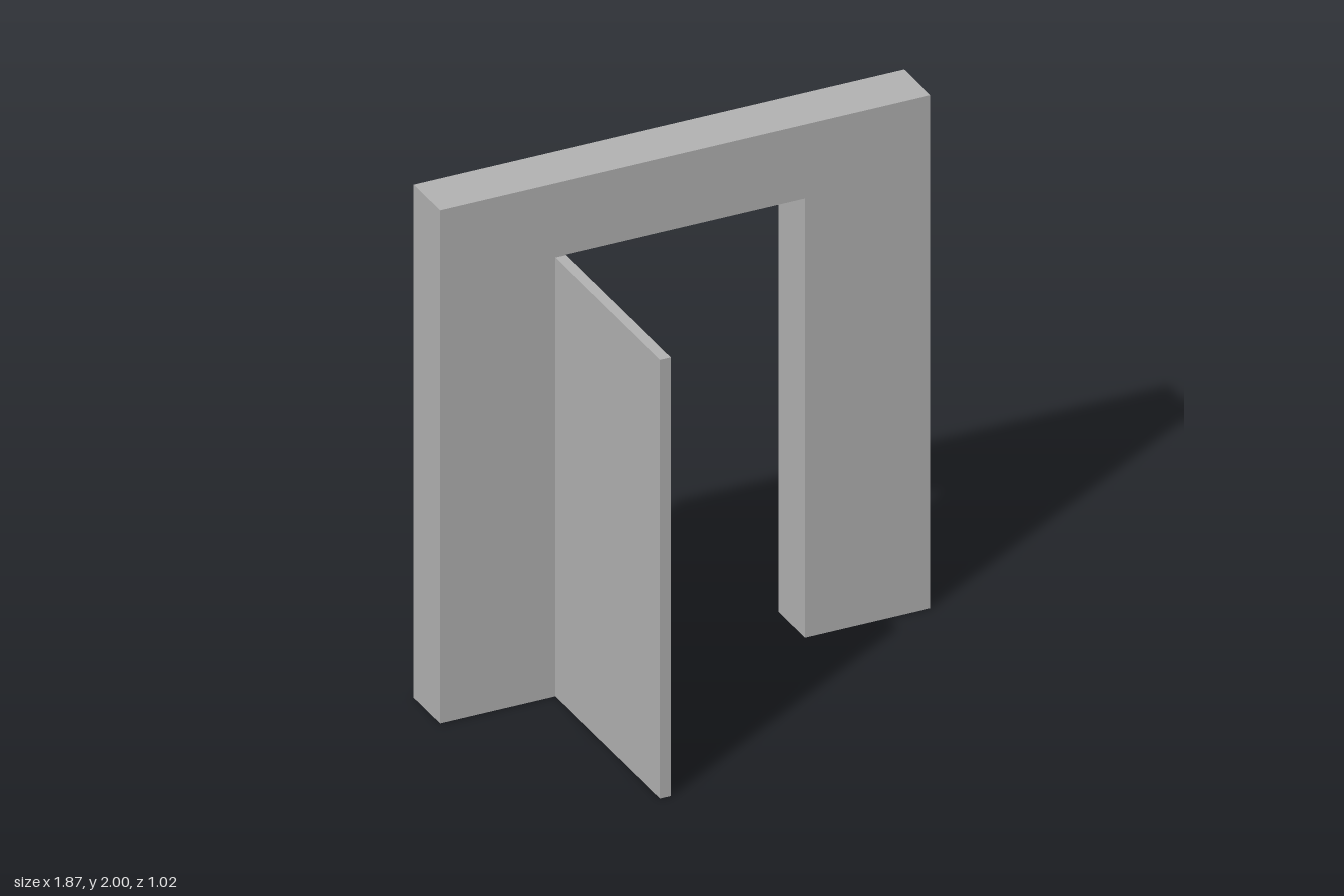
import * as THREE from 'three';

export function createModel() {
  const group = new THREE.Group();
  const grey = new THREE.MeshStandardMaterial({ color: 0xb2b2b2 });
  grey.name = 'plain grey';

  const W = 0.935, H = 2, back = -0.51, depth = 0.205; // wall
  const halfOpening = 0.457, openingTop = 1.712;

  // Wall with a doorway open to the floor
  const outline = new THREE.Shape([
    [-W, 0], [-halfOpening, 0], [-halfOpening, openingTop], [halfOpening, openingTop],
    [halfOpening, 0], [W, 0], [W, H], [-W, H],
  ].map(([x, y]) => new THREE.Vector2(x, y)));
  const wall = new THREE.Mesh(
    new THREE.ExtrudeGeometry(outline, { depth, bevelEnabled: false }), grey);
  wall.name = 'wall';
  wall.position.z = back;
  group.add(wall);

  // Open door, hinged at the middle of the wall's thickness
  const hingeZ = back + depth / 2, doorEnd = 0.51, doorHeight = 1.71, thickness = 0.041;
  const door = new THREE.Mesh(
    new THREE.BoxGeometry(thickness, doorHeight, doorEnd - hingeZ), grey);
  door.name = 'door';
  door.position.set(-0.455 - thickness / 2, doorHeight / 2, (doorEnd + hingeZ) / 2);
  group.add(door);

  return group;
}
